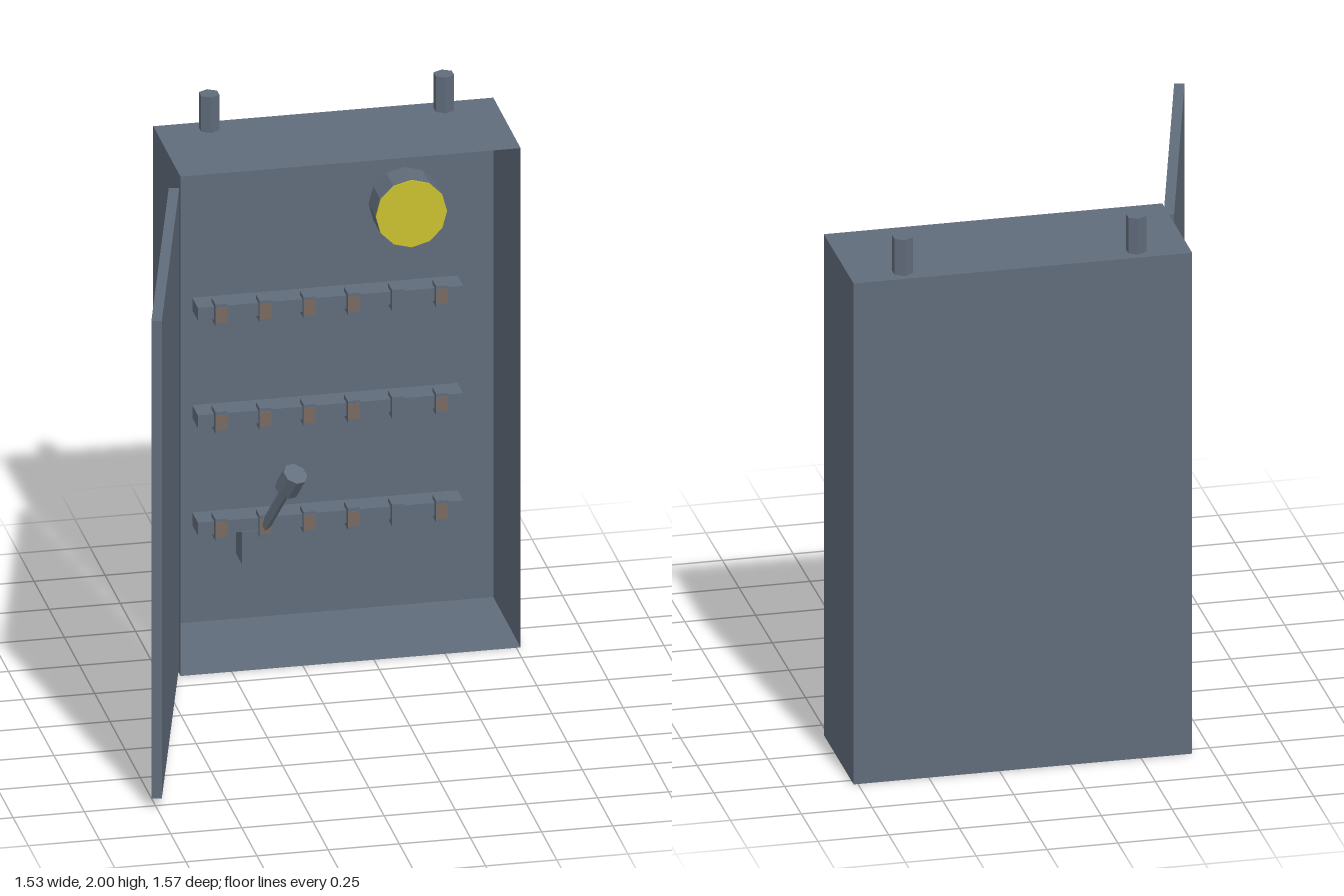
import * as THREE from 'three';

export function createModel() {
  const model = new THREE.Group();
  const steel = new THREE.MeshStandardMaterial({ color: 0x606c7a, side: THREE.DoubleSide, flatShading: true });
  steel.name = 'slateSteel';
  const yellow = new THREE.MeshStandardMaterial({ color: 0xc9c02e });
  yellow.name = 'gaugeYellow';
  const brown = new THREE.MeshStandardMaterial({ color: 0x786960 });
  brown.name = 'fuseBrown';

  function add(name, geometry, material, x, y, z) {
    const mesh = new THREE.Mesh(geometry, material);
    mesh.name = name;
    mesh.position.set(x, y, z);
    model.add(mesh);
    return mesh;
  }
  // Box given by its minimum and maximum corners
  function box(name, a, b, material = steel) {
    const g = new THREE.BoxGeometry(b[0] - a[0], b[1] - a[1], b[2] - a[2]);
    return add(name, g, material, (a[0] + b[0]) / 2, (a[1] + b[1]) / 2, (a[2] + b[2]) / 2);
  }
  // Faceted cylinder between two points
  function rod(name, a, b, radius, sides, material = steel) {
    const dir = b.clone().sub(a);
    const mesh = add(name, new THREE.CylinderGeometry(radius, radius, dir.length(), sides), material, 0, 0, 0);
    mesh.position.copy(a).add(b).multiplyScalar(0.5);
    mesh.quaternion.setFromUnitVectors(new THREE.Vector3(0, 1, 0), dir.normalize());
    return mesh;
  }
  const v = (x, y, z) => new THREE.Vector3(x, y, z);

  // Cabinet: thin shell with its front face left out
  const cabinet = box('cabinet', [-0.43, 0, -0.787], [0.765, 1.867, -0.337]);
  const faces = Array.from(cabinet.geometry.index.array);
  faces.splice(24, 6);
  cabinet.geometry.setIndex(faces);
  cabinet.geometry.clearGroups();

  // Mounting plate inside the back
  const plateZ = -0.752;
  box('mountingPlate', [-0.405, 0.03, -0.78], [0.74, 1.843, plateZ]);

  // Open door
  const door = add('door', new THREE.BoxGeometry(0.036, 1.785, 1.16), steel, -0.6025, 0.9325, 0.22);
  door.rotation.y = Math.atan2(-0.3, 1.12);

  // Conduits on the roof
  for (const x of [-0.247, 0.578]) {
    rod('conduit', v(x, 1.86, -0.724), v(x, 2, -0.724), 0.037, 6);
  }

  // Rails with fuses
  for (const y of [1.205, 0.803, 0.402]) {
    box('fuseRail', [-0.3, y - 0.024, plateZ], [0.632, y + 0.024, -0.66]);
    for (let i = 0; i < 6; i++) {
      const x = -0.222 + i * 0.155;
      box('fuse', [x - 0.021, y - 0.04, -0.70], [x + 0.021, y + 0.04, -0.638]);
      if (i !== 4) box('fuseFace', [x - 0.02, y - 0.028, -0.639], [x + 0.02, y + 0.028, -0.636], brown);
    }
  }

  // Gauge with a yellow dial
  rod('gaugeBody', v(0.445, 1.525, plateZ), v(0.445, 1.525, -0.64), 0.126, 12);
  rod('gaugeDial', v(0.445, 1.525, -0.64), v(0.445, 1.525, -0.634), 0.125, 12, yellow);

  // Lever on its base block
  box('leverBase', [-0.147, 0.26, plateZ], [-0.032, 0.379, -0.655]);
  const foot = v(-0.085, 0.335, -0.685);
  const tip = v(0.01, 0.645, -0.508);
  const neck = foot.clone().lerp(tip, 0.77);
  rod('leverRod', foot, neck, 0.018, 6);
  rod('leverKnob', neck, tip, 0.044, 8);

  return model;
}
